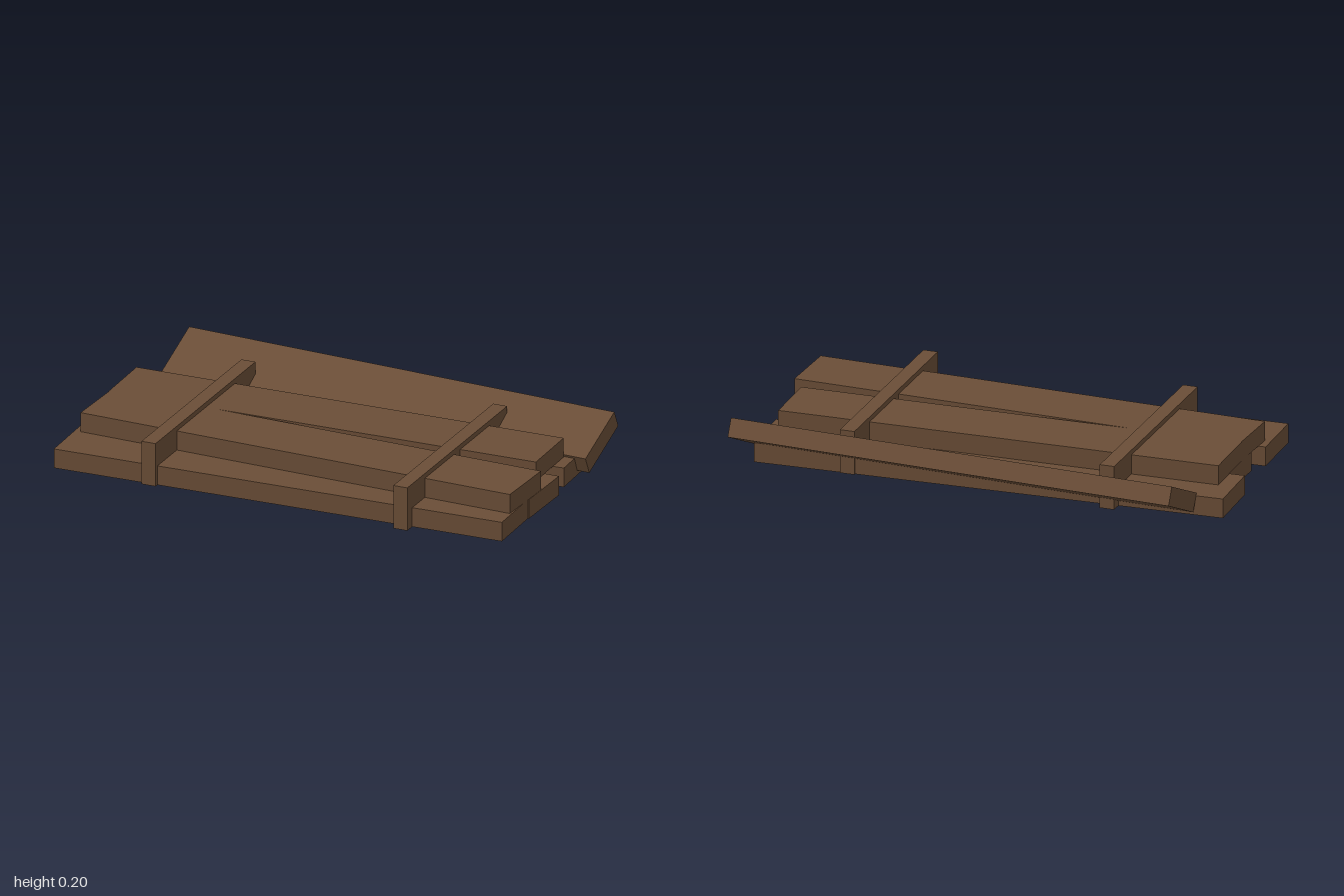
import * as THREE from 'three';

export function createModel() {
  const group = new THREE.Group();
  group.name = 'plankStack';
  const wood = new THREE.MeshStandardMaterial({ color: 0x6b4e37 });
  wood.name = 'brown wood';

  const T = 0.08; // plank thickness
  const W = 0.27; // plank width

  // A box centred at x, y, z; slope is the drift in z per unit of x
  function board(name, size, x, y, z, slope = 0, tilt = 0) {
    const mesh = new THREE.Mesh(new THREE.BoxGeometry(...size), wood);
    mesh.name = name;
    mesh.position.set(x, y, z);
    mesh.rotation.set(tilt, -Math.atan(slope), 0, 'YXZ');
    group.add(mesh);
  }

  // Lower layer
  board('lowerFrontPlank', [1.9, T, W], -0.003, T / 2, 0.4, -0.026);
  board('lowerMiddlePlank', [1.87, T, W], 0.015, T / 2, 0.105, 0.017);
  board('lowerBackPlank', [1.925, T, W], -0.032, T / 2, -0.197, -0.036);

  // Upper layer
  board('upperFrontPlank', [1.87, T, W], 0.01, T * 1.5, 0.25, 0.032);
  board('upperBackPlank', [1.815, T, W], -0.018, T * 1.5, -0.045, -0.022);

  // Loose plank leaning against the back
  board('leaningPlank', [1.872, 0.077, 0.265], 0.054, 0.11, -0.381, 0.0525, 0.43);

  // Battens across the stack
  for (const side of [-1, 1]) {
    board(side < 0 ? 'rightBatten' : 'leftBatten', [0.06, 0.18, 0.925], side * 0.54, 0.09, 0.103);
  }
  return group;
}
